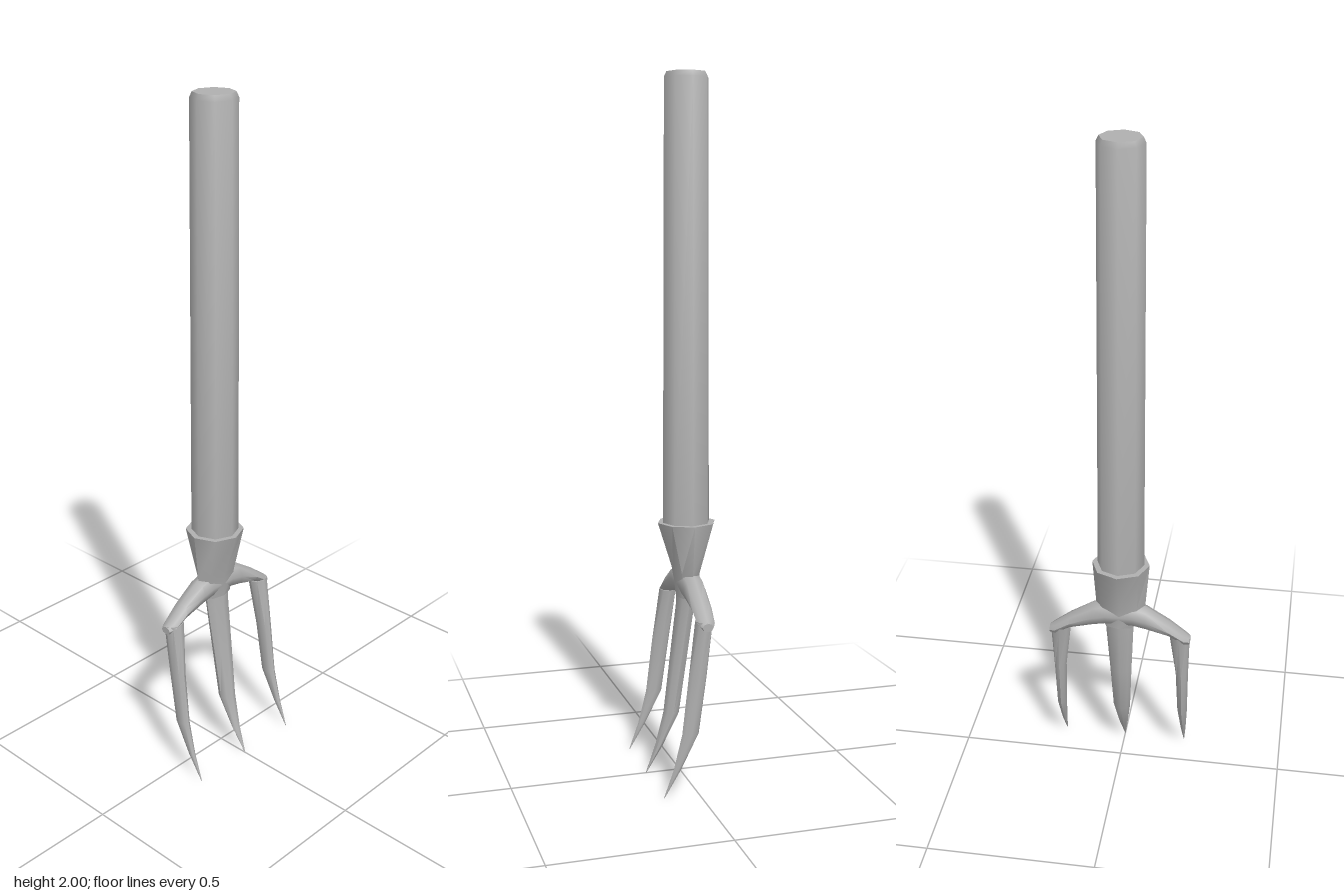
import * as THREE from 'three';
import { toCreasedNormals } from 'three/addons/utils/BufferGeometryUtils.js';

const SIDES = 8;

// Skin a row of elliptical rings [x, y, z, radiusA, radiusB].
// axis 'y': rings run upward, radii along x and z. axis 'x': rings run to +x, radii along y and z.
function loft(rings, axis = 'y', crease = 0.9) {
  const pos = [], idx = [];
  for (const [x, y, z, ra, rb] of rings) {
    for (let j = 0; j < SIDES; j++) {
      const t = (j / SIDES) * Math.PI * 2;
      const a = ra * Math.cos(t), b = rb * Math.sin(t);
      if (axis === 'y') pos.push(x + a, y, z - b);
      else pos.push(x, y + a, z + b);
    }
  }
  const last = (rings.length - 1) * SIDES;
  for (let i = 0; i < last; i += SIDES) {
    for (let j = 0; j < SIDES; j++) {
      const k = (j + 1) % SIDES;
      idx.push(i + j, i + k, i + SIDES + k, i + j, i + SIDES + k, i + SIDES + j);
    }
  }
  // end caps
  for (let j = 1; j < SIDES - 1; j++) {
    idx.push(0, j + 1, j, last, last + j, last + j + 1);
  }
  const g = new THREE.BufferGeometry();
  g.setAttribute('position', new THREE.Float32BufferAttribute(pos, 3));
  g.setIndex(idx);
  return toCreasedNormals(g, crease);
}

export function createModel() {
  const group = new THREE.Group();
  const steel = new THREE.MeshStandardMaterial({ color: 0xb0b0b0 });
  steel.name = 'plain grey';

  const add = (name, geometry) => {
    const mesh = new THREE.Mesh(geometry, steel);
    mesh.name = name;
    group.add(mesh);
  };

  // long tapered handle with a bevelled end
  const cx = -0.004, cz = -0.021;
  add('handle', loft([
    [cx, 0.7, cz, 0.069, 0.069],
    [cx, 1.985, cz, 0.064, 0.064],
    [cx, 2.0, cz, 0.057, 0.057],
  ]));

  // socket flattening from round down to the fork
  add('socket', loft([
    [0, 0.525, -0.02, 0.05, 0.03],
    [-0.003, 0.6, -0.019, 0.074, 0.037],
    [cx, 0.742, -0.022, 0.085, 0.085],
  ]));

  // sloping crossbar, mirrored about its middle: [x, y, z, half height, half depth]
  const half = [
    [0.04, 0.567, -0.021, 0.04, 0.034],
    [0.08, 0.557, -0.021, 0.038, 0.033],
    [0.15, 0.525, -0.02, 0.023, 0.029],
    [0.195, 0.494, -0.019, 0.019, 0.025],
    [0.213, 0.487, -0.019, 0.012, 0.016],
  ];
  const mirrored = half.map(([x, ...rest]) => [-x, ...rest]).reverse();
  add('crossbar', loft([...mirrored, ...half], 'x'));

  // curved pointed tines
  const path = [ // y, z, half depth
    [0, 0.102, 0.001],
    [0.08, 0.063, 0.011],
    [0.18, 0.025, 0.024],
    [0.34, 0.004, 0.026],
    [0.5, -0.017, 0.026],
  ];
  const outerX = [[0.192, 0.001], [0.192, 0.008], [0.191, 0.015], [0.189, 0.019], [0.181, 0.031]];
  const centreWidth = [0.001, 0.013, 0.026, 0.033, 0.041];

  add('centreTine', loft([
    ...path.map(([y, z, d], i) => [0, y, z, centreWidth[i], d]),
    [0, 0.56, -0.02, 0.044, 0.028],
  ]));
  for (const [name, s] of [['leftTine', 1], ['rightTine', -1]]) {
    add(name, loft(path.map(([y, z, d], i) => [s * outerX[i][0], y, z, outerX[i][1], d])));
  }

  return group;
}
